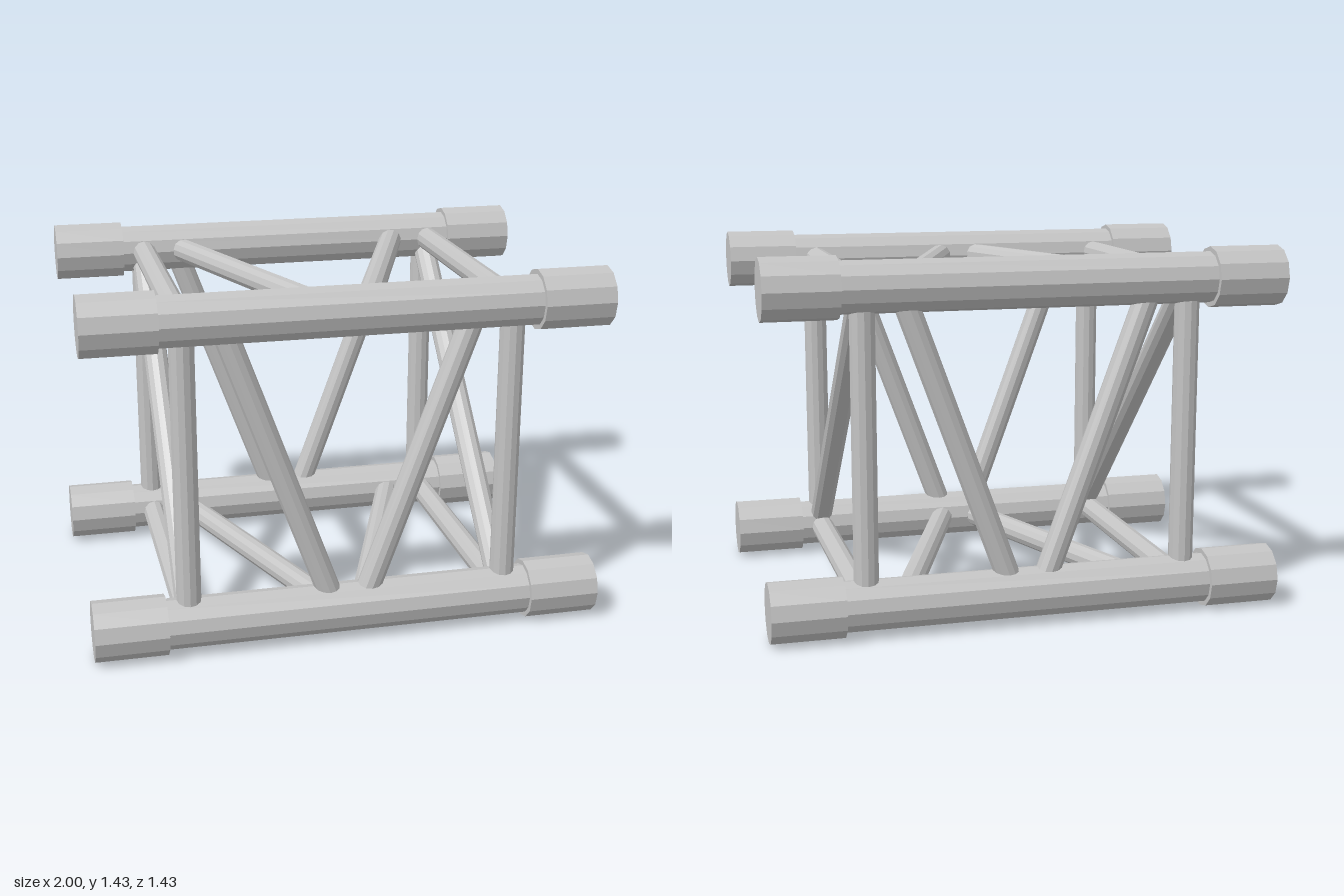
import * as THREE from 'three';

const UP = new THREE.Vector3(0, 1, 0);
const SIDES = 12;

export function createModel() {
  const model = new THREE.Group();
  model.name = 'trussSegment';
  const metal = new THREE.MeshStandardMaterial({ color: 0xc4c4c4, flatShading: true });
  metal.name = 'grey metal';

  // Straight tube between two points
  function tube(name, radius, from, to) {
    const a = new THREE.Vector3(...from);
    const b = new THREE.Vector3(...to);
    const dir = b.clone().sub(a);
    const mesh = new THREE.Mesh(new THREE.CylinderGeometry(radius, radius, dir.length(), SIDES), metal);
    mesh.name = name;
    mesh.position.copy(a).add(b).multiplyScalar(0.5);
    mesh.quaternion.setFromUnitVectors(UP, dir.normalize());
    model.add(mesh);
  }

  const R_SLEEVE = 0.117, R_CHORD = 0.098, R_BRACE = 0.048;
  const low = R_SLEEVE, high = 1.317, half = 0.6;
  const postX = 0.63, wideX = 0.491, narrowX = 0.053;

  // Four main chords with a thicker sleeve at each end
  for (const y of [low, high]) {
    for (const z of [-half, half]) {
      tube('chord', R_CHORD, [-0.74, y, z], [0.74, y, z]);
      for (const s of [-1, 1]) tube('endSleeve', R_SLEEVE, [s * 0.72, y, z], [s, y, z]);
    }
  }

  for (const s of [-1, 1]) {
    // Front and back faces: posts and V braces
    for (const z of [-half, half]) {
      tube('post', R_BRACE, [s * postX, low, z], [s * postX, high, z]);
      tube('sideBrace', R_BRACE, [s * narrowX, low, z], [s * wideX, high, z]);
    }
    // Top and bottom faces: cross bars and V braces
    for (const y of [low, high]) {
      tube('crossBar', R_BRACE, [s * postX, y, -half], [s * postX, y, half]);
      tube('flatBrace', R_BRACE, [s * narrowX, y, half], [s * wideX, y, -half]);
    }
    // Diagonal across each end frame
    tube('endDiagonal', R_BRACE, [s * postX, low, half], [s * postX, high, -half]);
  }

  return model;
}
